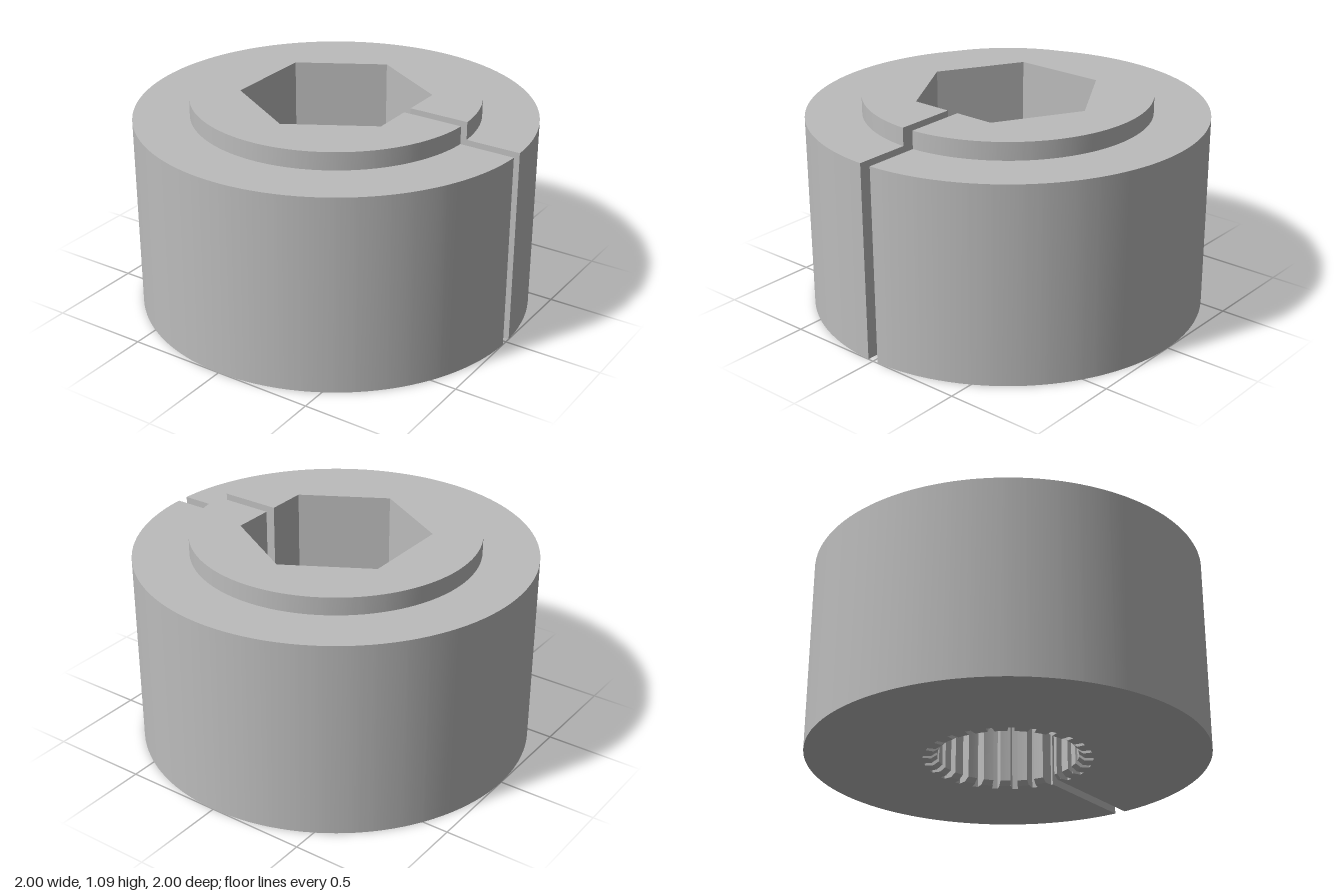
import * as THREE from 'three';
import { toCreasedNormals } from 'three/addons/utils/BufferGeometryUtils.js';

const SLOT = 0.03; // half width of the clamping slot
const TEETH = 25, PITCH = 360 / TEETH, PHASE = -90; // one groove points to -z
const RAD = Math.PI / 180;

// Cross-section radii as functions of the angle in degrees
const circle = (r) => () => r;
const hexagon = (deg) => {
  const off = ((deg % 60) + 60) % 60; // flats face +x and -x
  return 0.41 / Math.cos((off > 30 ? off - 60 : off) * RAD);
};
const spline = (deg) => {
  const t = (deg - PHASE) / PITCH;
  const off = Math.abs(t - Math.round(t)) * PITCH;
  return THREE.MathUtils.clamp(0.35 + 0.07 * (3 - off), 0.35, 0.42);
};
const chamfer = (deg) => Math.max(0.378, spline(deg));

// Rings from the outer bottom edge, over the top and down through the bore
const rings = [
  [0, circle(1)], [1, circle(1)],
  [1, circle(0.72)], [1.09, circle(0.72)],
  [1.09, hexagon], [0.65, hexagon],
  [0.65, circle(0.17)], [0.575, circle(0.17)],
  [0.575, spline], [0.02, spline],
  [0, chamfer],
];

// Angles shared by all rings, including every hexagon and groove corner
function sharedAngles() {
  const set = new Set();
  for (let a = 0; a <= 360; a += 3) set.add(a);
  for (let k = 0; k < TEETH; k++) {
    for (const d of [-3, -2.6, -2, 2, 2.6, 3]) {
      set.add(Number(((PHASE + k * PITCH + d + 720) % 360).toFixed(3)));
    }
  }
  return [...set].sort((a, b) => a - b);
}

function hubGeometry() {
  const angles = sharedAngles(), n = angles.length;
  const pos = [], index = [];
  for (const [y, radius] of rings) {
    for (const deg of angles) {
      // Stop each ring at the slot walls
      const end = Math.asin(SLOT / radius(deg)) / RAD;
      const a = THREE.MathUtils.clamp(deg, end, 360 - end);
      const r = radius(a);
      let z = r * Math.sin(a * RAD);
      if (a !== deg) z = deg < 180 ? SLOT : -SLOT;
      pos.push(r * Math.cos(a * RAD), y, z);
    }
  }
  // Skin between neighbouring rings, closed from the last back to the first
  for (let i = 0; i < rings.length; i++) {
    const next = (i + 1) % rings.length;
    for (let j = 0; j < n - 1; j++) {
      const a = i * n + j, b = a + 1, c = next * n + j, d = c + 1;
      index.push(a, c, b, b, c, d);
    }
  }
  // Slot walls filling the profile at both ends
  for (const j of [0, n - 1]) {
    const outline = rings.map((_, i) => {
      const p = (i * n + j) * 3;
      return new THREE.Vector2(pos[p], pos[p + 1]);
    });
    for (const tri of THREE.ShapeUtils.triangulateShape(outline, [])) {
      const [a, b, c] = tri.map((i) => i * n + j);
      if (j === 0) index.push(a, c, b);
      else index.push(a, b, c);
    }
  }
  const geo = new THREE.BufferGeometry();
  geo.setAttribute('position', new THREE.Float32BufferAttribute(pos, 3));
  geo.setIndex(index);
  return toCreasedNormals(geo, 0.35);
}

export function createModel() {
  const group = new THREE.Group();
  group.name = 'splinedHexHub';
  const metal = new THREE.MeshStandardMaterial({ color: 0xbcbcbc });
  metal.name = 'light grey metal';
  const hub = new THREE.Mesh(hubGeometry(), metal);
  hub.name = 'slottedHub';
  group.add(hub);
  return group;
}
